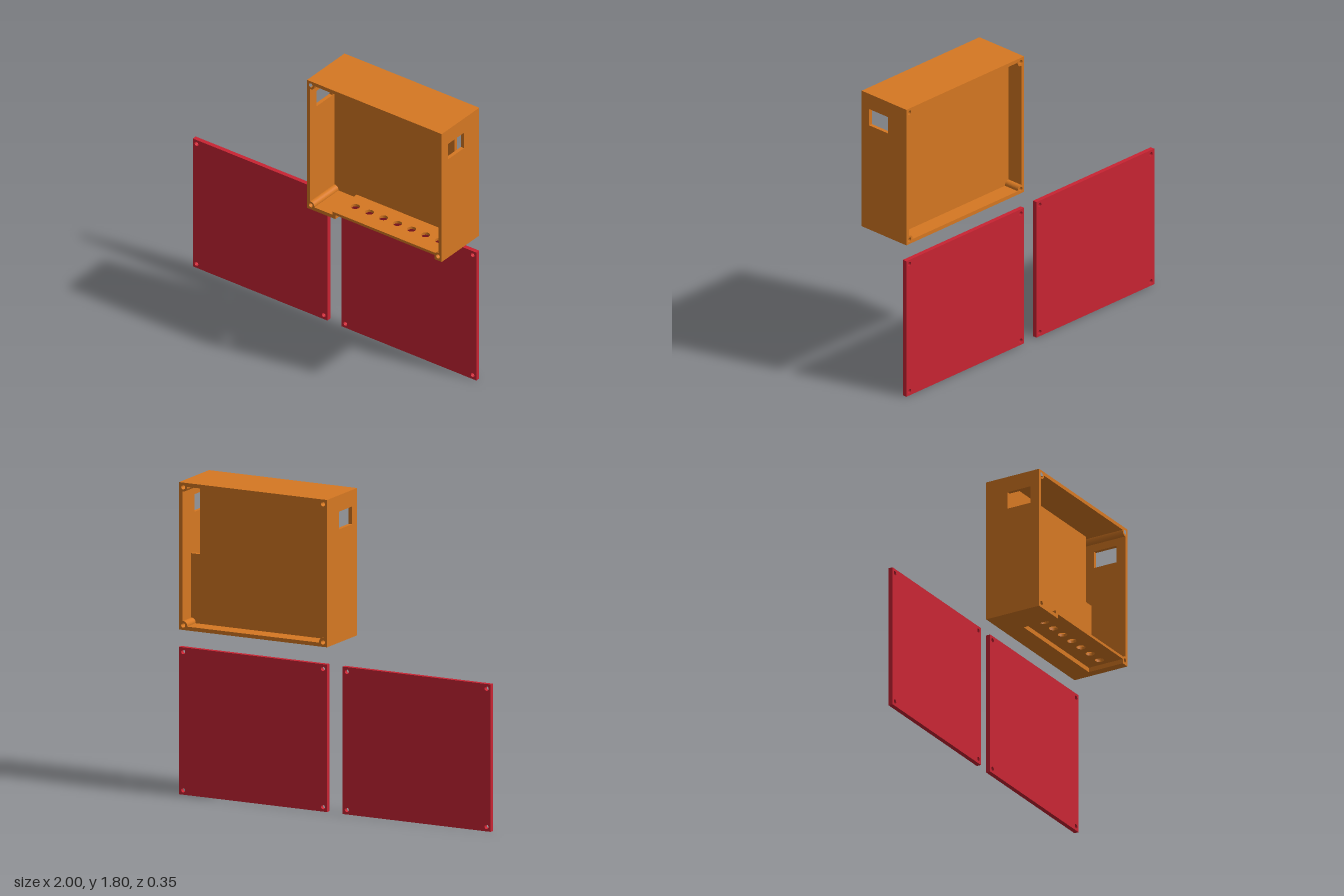
import * as THREE from 'three';

// Half width, half height and wall thickness of the case; screw inset and radii
const W = 0.475, H = 0.425, T = 0.022;
const INSET = 0.0265, POST_R = 0.025, SCREW_R = 0.013;
const BACK = -0.175, FRONT = 0.175, MID_BACK = -0.075, MID_FRONT = -0.05;
const A = Math.asin((INSET - T) / POST_R);

const orange = new THREE.MeshStandardMaterial({ color: 0xd67822 });
const red = new THREE.MeshStandardMaterial({ color: 0xc92433 });

const toShape = (pts) => new THREE.Shape(pts.map(([x, y]) => new THREE.Vector2(x, y)));
const rect = (x0, y0, x1, y1) => [[x0, y0], [x1, y0], [x1, y1], [x0, y1]];

function addHole(shape, x, y, r) {
  const hole = new THREE.Path();
  hole.absarc(x, y, r, 0, Math.PI * 2, true);
  shape.holes.push(hole);
}

function addScrew(shape, sx, sy) {
  addHole(shape, sx * (W - INSET), sy * (H - INSET), SCREW_R);
}

const CORNERS = [[1, 1], [1, -1], [-1, -1], [-1, 1]];
const addScrews = (shape, corners = CORNERS) => corners.forEach(([sx, sy]) => addScrew(shape, sx, sy));

// Rounded screw post outline, from the horizontal wall round to the vertical wall
function post(sx, sy, from = -A) {
  const pts = [], n = 12, to = Math.PI / 2 + A;
  for (let i = 0; i <= n; i++) {
    const t = from + (to - from) * i / n;
    pts.push([sx * (W - INSET - POST_R * Math.cos(t)), sy * (H - INSET - POST_R * Math.sin(t))]);
  }
  return pts;
}

function extrude(shape, depth) {
  return new THREE.ExtrudeGeometry(shape, { depth, bevelEnabled: false, curveSegments: 16 });
}

function addMesh(parent, name, geometry, material) {
  const mesh = new THREE.Mesh(geometry, material);
  mesh.name = name;
  parent.add(mesh);
  return mesh;
}

// A cross-section swept between two depths
function addLayer(parent, name, shape, z0, z1, material) {
  return addMesh(parent, name, extrude(shape, z1 - z0).translate(0, 0, z0), material);
}

function createCase() {
  const box = new THREE.Group();
  box.name = 'case';

  // Back frame around the shallow rear compartment
  const frame = toShape(rect(-W, -H, W, H));
  frame.holes.push(toShape([
    ...post(1, 1), ...post(1, -1).reverse(), ...post(-1, -1), ...post(-1, 1).reverse(),
  ]));
  addScrews(frame);
  addLayer(box, 'backFrame', frame, BACK, MID_BACK, orange);

  // Dividing panel with a cable notch
  const divider = toShape(rect(-W, -H, W, H));
  divider.holes.push(toShape([[0.395, -0.002], [0.395, H - T], ...post(1, 1), [W - T, -0.002]]));
  addScrews(divider);
  addLayer(box, 'dividingPanel', divider, MID_BACK, MID_FRONT, orange);

  // Front compartment: top wall with its two posts
  const seam = 0.36;
  const top = toShape([
    [-W, seam], [-W, H], [W, H], [W, seam], [W - T, seam],
    ...post(1, 1).reverse(), ...post(-1, 1), [-W + T, seam],
  ]);
  addScrews(top, [[1, 1], [-1, 1]]);
  addLayer(box, 'topWall', top, MID_FRONT, FRONT, orange);

  // Floor ends on either side of the raised connector plate
  const plateTop = -0.382, plateBottom = -0.398, plateLeft = -0.275, plateRight = 0.425;
  const rightFloor = toShape([
    [-W, -H], [plateLeft, -H], [plateLeft, plateTop], [plateLeft - 0.02, plateTop],
    [plateLeft - 0.02, -H + T], ...post(-1, -1), [-W + T, -seam], [-W, -seam],
  ]);
  addScrew(rightFloor, -1, -1);
  addLayer(box, 'rightFloorEnd', rightFloor, MID_FRONT, FRONT, orange);

  const bend = Math.asin((plateTop + H - INSET) / POST_R);
  const leftFloor = toShape([
    [plateRight, -H], [W, -H], [W, -seam], [W - T, -seam],
    ...post(1, -1, bend).reverse(), [plateRight, plateTop],
  ]);
  addScrew(leftFloor, 1, -1);
  addLayer(box, 'leftFloorEnd', leftFloor, MID_FRONT, FRONT, orange);

  // Raised plate with a row of seven connector holes
  const plate = toShape(rect(plateLeft, -FRONT, plateRight, -MID_FRONT));
  for (let i = 0; i < 7; i++) addHole(plate, -0.225 + i * 0.099, -0.055, 0.026);
  const plateGeometry = extrude(plate, plateTop - plateBottom).rotateX(-Math.PI / 2);
  addMesh(box, 'connectorPlate', plateGeometry.translate(0, plateBottom, 0), orange);

  // Side walls with matching rectangular windows
  for (const [name, x] of [['leftWall', W - T], ['rightWall', -W]]) {
    const wall = toShape(rect(-FRONT, -seam, -MID_FRONT, seam));
    wall.holes.push(toShape(rect(-0.117, 0.228, 0.033, 0.33)));
    addMesh(box, name, extrude(wall, T).rotateY(Math.PI / 2).translate(x, 0, 0), orange);
  }
  return box;
}

export function createModel() {
  const model = new THREE.Group();
  model.name = 'enclosureKit';

  const box = createCase();
  box.position.set(0.525, 1.375, 0);
  model.add(box);

  // Two flat covers with corner screw holes
  for (const [name, x] of [['leftCover', 0.525], ['rightCover', -0.525]]) {
    const cover = toShape(rect(-W, -H, W, H));
    addScrews(cover);
    addLayer(model, name, cover, BACK, BACK + 0.027, red).position.set(x, H, 0);
  }
  return model;
}
